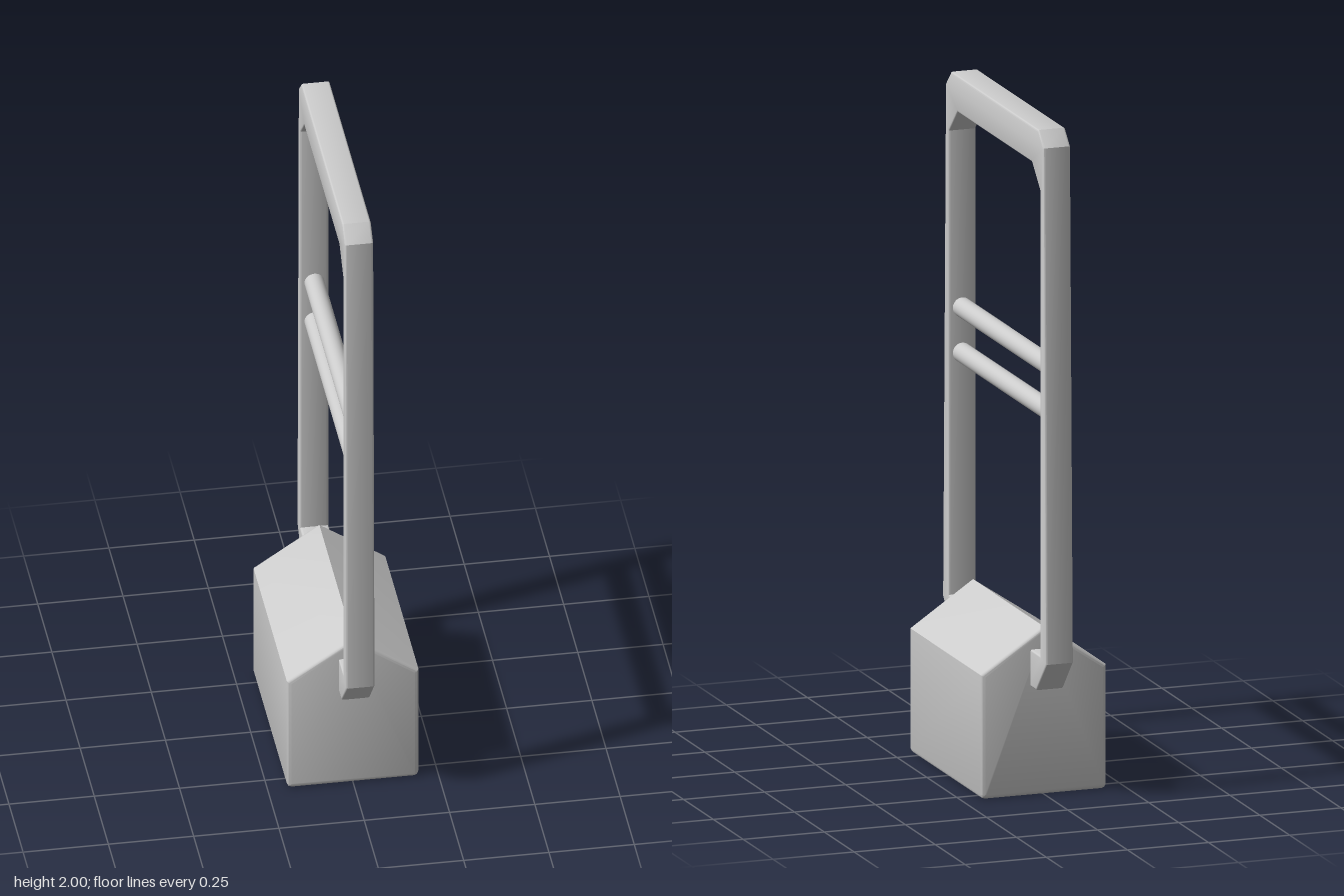
import * as THREE from 'three';
import { toCreasedNormals } from 'three/addons/utils/BufferGeometryUtils.js';

const material = new THREE.MeshStandardMaterial({ color: 0xcccccc });

function addMesh(parent, name, geometry) {
  const mesh = new THREE.Mesh(geometry, material);
  mesh.name = name;
  parent.add(mesh);
  return mesh;
}

// Extrude an outline to a full, centred width with slightly rounded edges
function roundedSlab(points, width, radius) {
  const shape = new THREE.Shape(points.map(([a, b]) => new THREE.Vector2(a, b)));
  const geometry = new THREE.ExtrudeGeometry(shape, {
    depth: width - 2 * radius,
    bevelThickness: radius,
    bevelSize: radius,
    bevelOffset: -radius,
    bevelSegments: 3,
  });
  geometry.translate(0, 0, radius - width / 2);
  return toCreasedNormals(geometry, 0.6);
}

// Complete a symmetrical outline from its positive half
const mirrored = (half) => [...half, ...half.map(([a, b]) => [-a, b]).reverse()];

export function createModel() {
  const model = new THREE.Group();
  model.name = 'frameOnBase';

  // Heavy base block with a gabled top and softened bottom edges
  const side = [[0.18, 0], [0.189, 0.004], [0.193, 0.013], [0.193, 0.37]];
  const basePoints = [...side, [0, 0.5], ...side.map(([x, y]) => [-x, y]).reverse()];
  addMesh(model, 'base', roundedSlab(basePoints, 0.606, 0.012));

  // Tapered upright frame whose feet turn in to the ends of the base
  const outer = [[0.29, 0.325], [0.35, 0.325], [0.434, 0.42], [0.41, 1.955], [0.365, 2]];
  const inner = [[0.29, 0.435], [0.383, 0.435], [0.383, 1.82], [0.312, 1.892]];
  const framePoints = [...mirrored(outer), ...mirrored(inner).reverse()];
  const frame = addMesh(model, 'uprightFrame', roundedSlab(framePoints, 0.084, 0.006));
  frame.rotation.y = -Math.PI / 2;

  // Two round crossbars between the uprights
  for (const [name, y] of [['upperCrossbar', 1.29], ['lowerCrossbar', 1.155]]) {
    const bar = addMesh(model, name, new THREE.CylinderGeometry(0.029, 0.029, 0.78, 32));
    bar.rotation.x = Math.PI / 2;
    bar.position.y = y;
  }

  return model;
}
